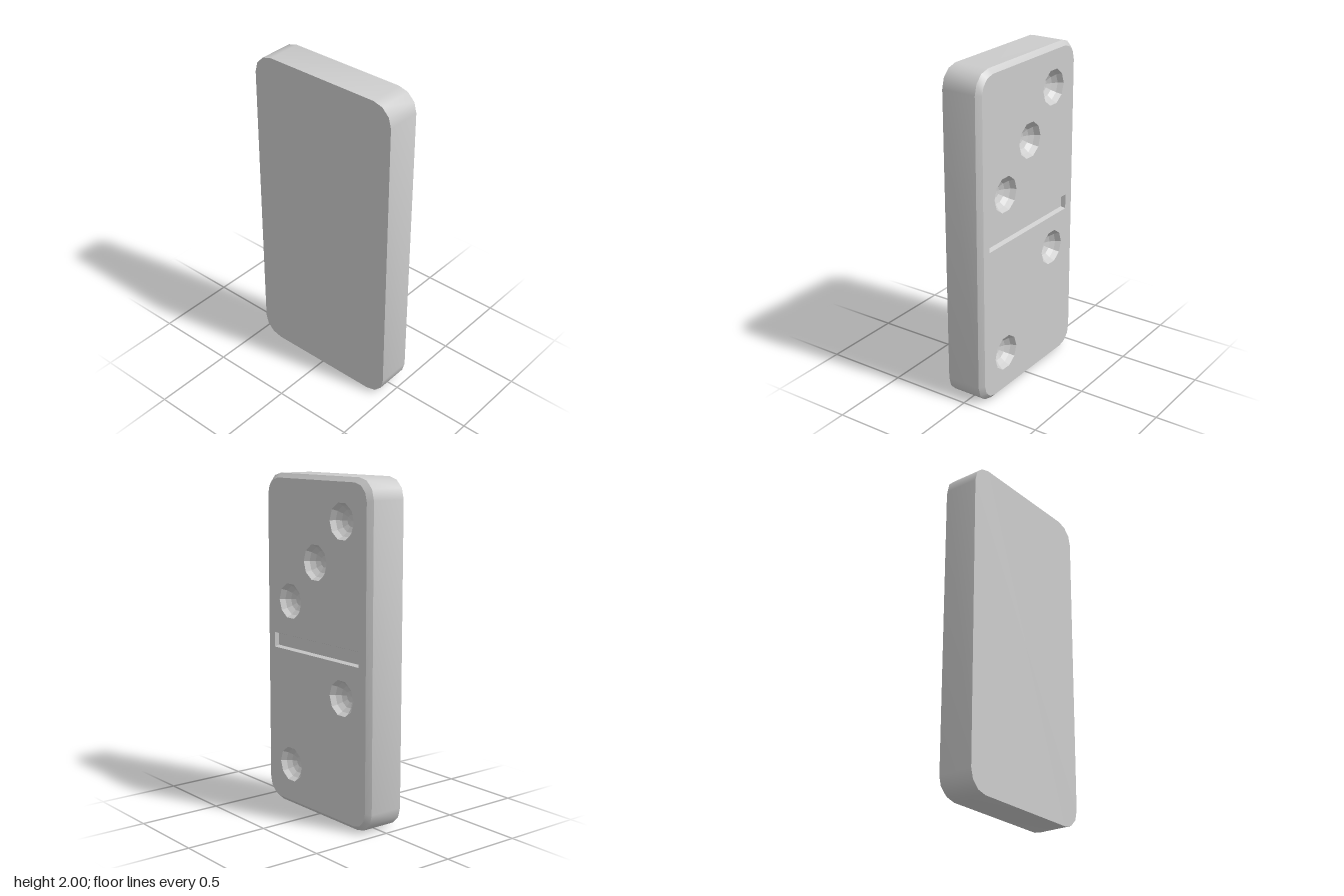
import * as THREE from 'three';
import { toCreasedNormals } from 'three/addons/utils/BufferGeometryUtils.js';

// Everything is drawn in a (u, v, w) frame, then turned so that w points along +x and u along -z.
const HALF_W = 0.48, HALF_H = 1, HALF_T = 0.12, BEVEL = 0.027;
const PIP_R = 0.107, PIP_DEPTH = 0.075, PIP_SIDES = 10;

// Counter-clockwise rounded rectangle, three segments per corner
function roundedLoop(hw, hh, r, cv) {
  const pts = [];
  [[1, 1], [-1, 1], [-1, -1], [1, -1]].forEach(([su, sv], k) => {
    for (let i = 0; i <= 3; i++) {
      const a = (k + i / 3) * Math.PI / 2;
      pts.push([su * (hw - r) + r * Math.cos(a), cv + sv * (hh - r) + r * Math.sin(a)]);
    }
  });
  return pts;
}

function rectLoop(hw, hh, cu, cv) {
  return [[cu + hw, cv + hh], [cu - hw, cv + hh], [cu - hw, cv - hh], [cu + hw, cv - hh]];
}

function circleLoop(r, cu, cv) {
  return Array.from({ length: PIP_SIDES }, (_, i) => {
    const a = i / PIP_SIDES * Math.PI * 2;
    return [cu + r * Math.cos(a), cv + r * Math.sin(a)];
  });
}

// Skin through matching loops, each given as [loop, w]
function loft(sections, crease) {
  const n = sections[0][0].length, pos = [], idx = [];
  sections.forEach(([loop, w], s) => loop.forEach(([u, v], i) => {
    pos.push(u, v, w);
    if (s === 0) return;
    const j = (i + 1) % n, a = (s - 1) * n, b = s * n;
    idx.push(a + i, a + j, b + j, a + i, b + j, b + i);
  }));
  const g = new THREE.BufferGeometry();
  g.setAttribute('position', new THREE.Float32BufferAttribute(pos, 3));
  g.setIndex(idx);
  return toCreasedNormals(g, crease);
}

const toVectors = loop => loop.map(([u, v]) => new THREE.Vector2(u, v));

export function createModel() {
  const group = new THREE.Group();
  const material = new THREE.MeshStandardMaterial({ color: 0xcccccc });
  const add = (name, geometry) => {
    const mesh = new THREE.Mesh(geometry.rotateY(Math.PI / 2), material);
    mesh.name = name;
    group.add(mesh);
  };

  // Tile body: flat back, rounded sides and the bevel round the face
  const outer = roundedLoop(HALF_W, HALF_H, 0.12, HALF_H);
  const inner = roundedLoop(HALF_W - BEVEL, HALF_H - BEVEL, 0.1, HALF_H);
  add('tileBody', loft([
    [outer.map(() => [0, HALF_H]), -HALF_T],
    [outer, -HALF_T],
    [outer, HALF_T - BEVEL],
    [inner, HALF_T],
  ], 0.6));

  const face = new THREE.Shape(toVectors(inner));

  // Pips: faceted bowls sunk into the face
  const sphereR = (PIP_R ** 2 + PIP_DEPTH ** 2) / (2 * PIP_DEPTH);
  const rimAngle = Math.asin(PIP_R / sphereR);
  const pips = [[0.24, 1.755], [0, 1.505], [-0.24, 1.255], [0.24, 0.755], [-0.24, 0.255]];
  pips.forEach(([u, v], k) => {
    const sections = [];
    for (let i = 0; i <= 4; i++) {
      const a = rimAngle * (1 - i / 4);
      const w = HALF_T - sphereR * (Math.cos(a) - Math.cos(rimAngle));
      sections.push([circleLoop(sphereR * Math.sin(a), u, v), w]);
    }
    add(`pip${k + 1}`, loft(sections, 0.05));
    face.holes.push(new THREE.Path(toVectors(circleLoop(PIP_R, u, v))));
  });

  // Dividing groove with slightly tapered walls
  const gu = -0.005, gv = 1.003, depth = HALF_T - 0.027;
  const rim = rectLoop(0.395, 0.045, gu, gv);
  add('dividingGroove', loft([
    [rim, HALF_T],
    [rectLoop(0.388, 0.036, gu, gv), depth],
    [rim.map(() => [gu, gv]), depth],
  ], 0.3));
  face.holes.push(new THREE.Path(toVectors(rim)));

  // Face sheet with openings for the pips and groove
  add('tileFace', new THREE.ShapeGeometry(face).translate(0, 0, HALF_T));
  return group;
}
